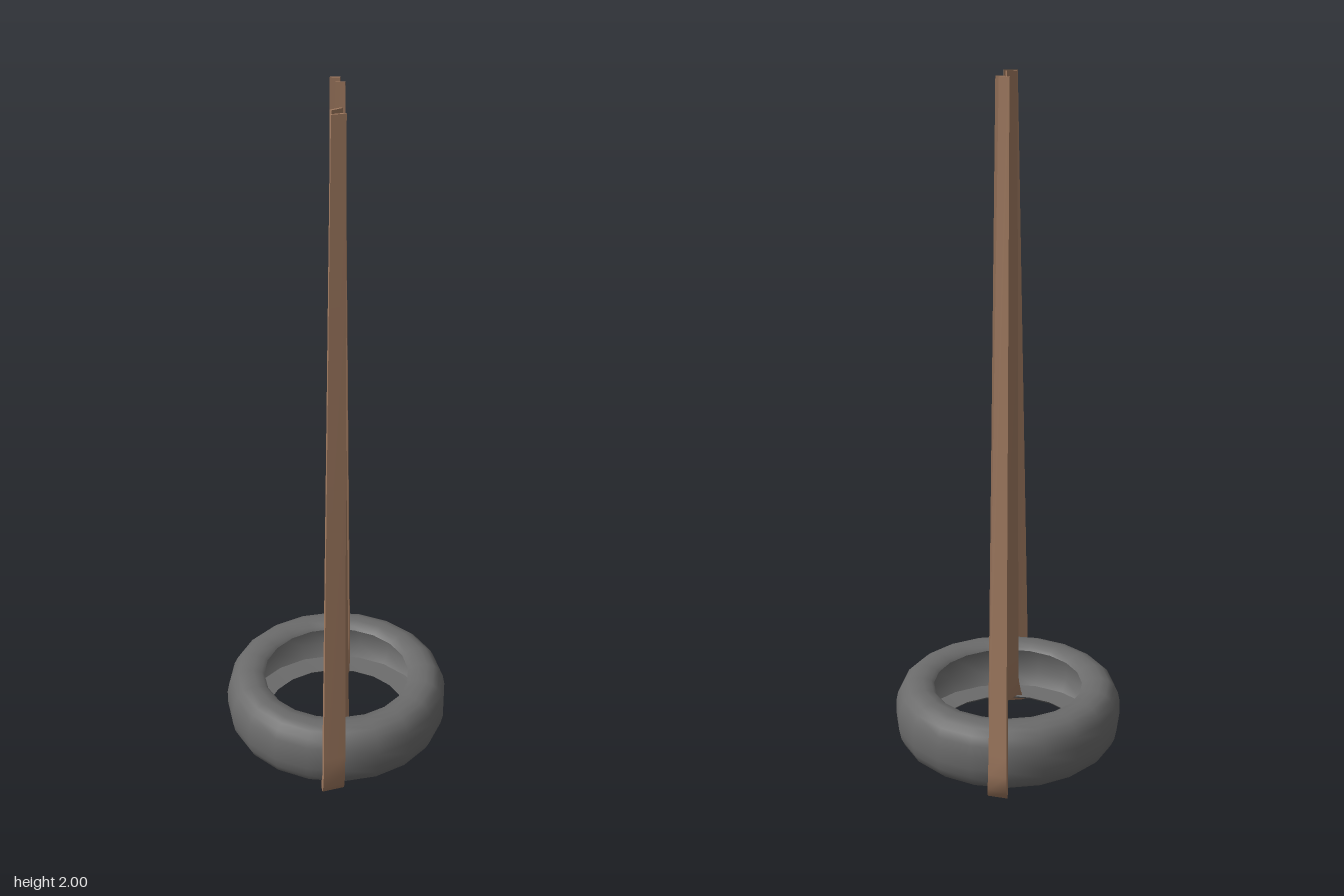
import * as THREE from 'three';
import { toCreasedNormals } from 'three/addons/utils/BufferGeometryUtils.js';

const rubber = new THREE.MeshStandardMaterial({ color: 0x6b6b6b });
rubber.name = 'grey rubber';
const strap = new THREE.MeshStandardMaterial({ color: 0xa07a60 });
strap.name = 'brown strap';

// Hollow tyre, open toward the hole, with thin lips
function makeTyre() {
  const profile = [
    [0.226, 0.028], [0.235, 0.019], [0.26, 0.012], [0.285, 0.012], [0.307, 0.019], [0.325, 0.035],
    [0.337, 0.06], [0.343, 0.09], [0.343, 0.132], [0.337, 0.162], [0.325, 0.187], [0.307, 0.203],
    [0.285, 0.21], [0.26, 0.21], [0.235, 0.203], [0.226, 0.194],
    [0.255, 0.192], [0.295, 0.188], [0.32, 0.15], [0.32, 0.072], [0.295, 0.034], [0.255, 0.03], [0.226, 0.028],
  ].map(([r, y]) => new THREE.Vector2(r, y));
  const geometry = toCreasedNormals(new THREE.LatheGeometry(profile, 20, 0.044), 0.7);
  const mesh = new THREE.Mesh(geometry, rubber);
  mesh.name = 'tyre';
  mesh.position.z = 0.015;
  return mesh;
}

// Flat band swept through stations [x, y, z, width, thickness, turn];
// turn is the heading of the width direction in the ground plane
function makeStrap(name, stations) {
  const points = stations.map(([x, y, z]) => new THREE.Vector3(x, y, z));
  const positions = [];
  const index = [];
  const last = stations.length - 1;
  stations.forEach(([, , , width, thickness, turn], i) => {
    const before = points[Math.max(i - 1, 0)];
    const after = points[Math.min(i + 1, last)];
    const tangent = after.clone().sub(before).normalize();
    if (i === 0 || i === last) tangent.set(0, i ? 1 : -1, 0); // level cut at the top
    const side = new THREE.Vector3(Math.cos(turn), 0, Math.sin(turn));
    side.addScaledVector(tangent, -side.dot(tangent)).normalize();
    const normal = tangent.clone().cross(side);
    for (const [u, v] of [[1, 1], [-1, 1], [-1, -1], [1, -1]]) {
      const corner = points[i].clone()
        .addScaledVector(side, (u * width) / 2)
        .addScaledVector(normal, (v * thickness) / 2);
      positions.push(corner.x, corner.y, corner.z);
    }
    if (i === last) return;
    for (let k = 0; k < 4; k++) {
      const a = i * 4 + k;
      const b = i * 4 + ((k + 1) % 4);
      index.push(a, b, b + 4, a, b + 4, a + 4);
    }
  });
  const e = last * 4;
  index.push(0, 3, 2, 0, 2, 1, e, e + 1, e + 2, e, e + 2, e + 3);
  const geometry = new THREE.BufferGeometry();
  geometry.setAttribute('position', new THREE.Float32BufferAttribute(positions, 3));
  geometry.setIndex(index);
  const mesh = new THREE.Mesh(toCreasedNormals(geometry, 0.6), strap);
  mesh.name = name;
  return mesh;
}

export function createModel() {
  const group = new THREE.Group();
  group.name = 'tyreSwing';
  group.add(makeTyre());

  // Each strap comes down outside the tyre, passes under it and rises through the hole
  group.add(makeStrap('frontStrap', [
    [-0.055, 2, 0.188, 0.04, 0.007, 0],
    [-0.128, 0.17, 0.366, 0.066, 0.013, 0],
    [-0.129, 0.11, 0.368, 0.066, 0.014, 0],
    [-0.127, 0.06, 0.357, 0.066, 0.014, 0],
    [-0.12, 0.026, 0.332, 0.066, 0.014, 0],
    [-0.108, 0.009, 0.295, 0.066, 0.014, 0],
    [-0.085, 0.009, 0.25, 0.066, 0.014, -0.15],
    [-0.068, 0.03, 0.224, 0.066, 0.014, -0.25],
    [-0.056, 0.09, 0.207, 0.066, 0.014, -0.35],
    [-0.054, 0.2, 0.2, 0.064, 0.012, -0.35],
    [-0.045, 2, 0.142, 0.035, 0.008, -0.35],
  ]));
  group.add(makeStrap('backStrap', [
    [0.059, 2, -0.172, 0.028, 0.01, 0.5],
    [0.126, 0.17, -0.346, 0.052, 0.016, 0.55],
    [0.128, 0.11, -0.351, 0.054, 0.016, 0.55],
    [0.127, 0.06, -0.344, 0.056, 0.015, 0.53],
    [0.12, 0.026, -0.318, 0.056, 0.014, 0.5],
    [0.11, 0.009, -0.28, 0.056, 0.014, 0.47],
    [0.097, 0.009, -0.225, 0.056, 0.014, 0.45],
    [0.087, 0.03, -0.192, 0.056, 0.014, 0.45],
    [0.08, 0.09, -0.17, 0.056, 0.016, 0.45],
    [0.078, 0.2, -0.162, 0.054, 0.016, 0.45],
    [0.055, 2, -0.117, 0.026, 0.008, 0.4],
  ]));
  return group;
}
